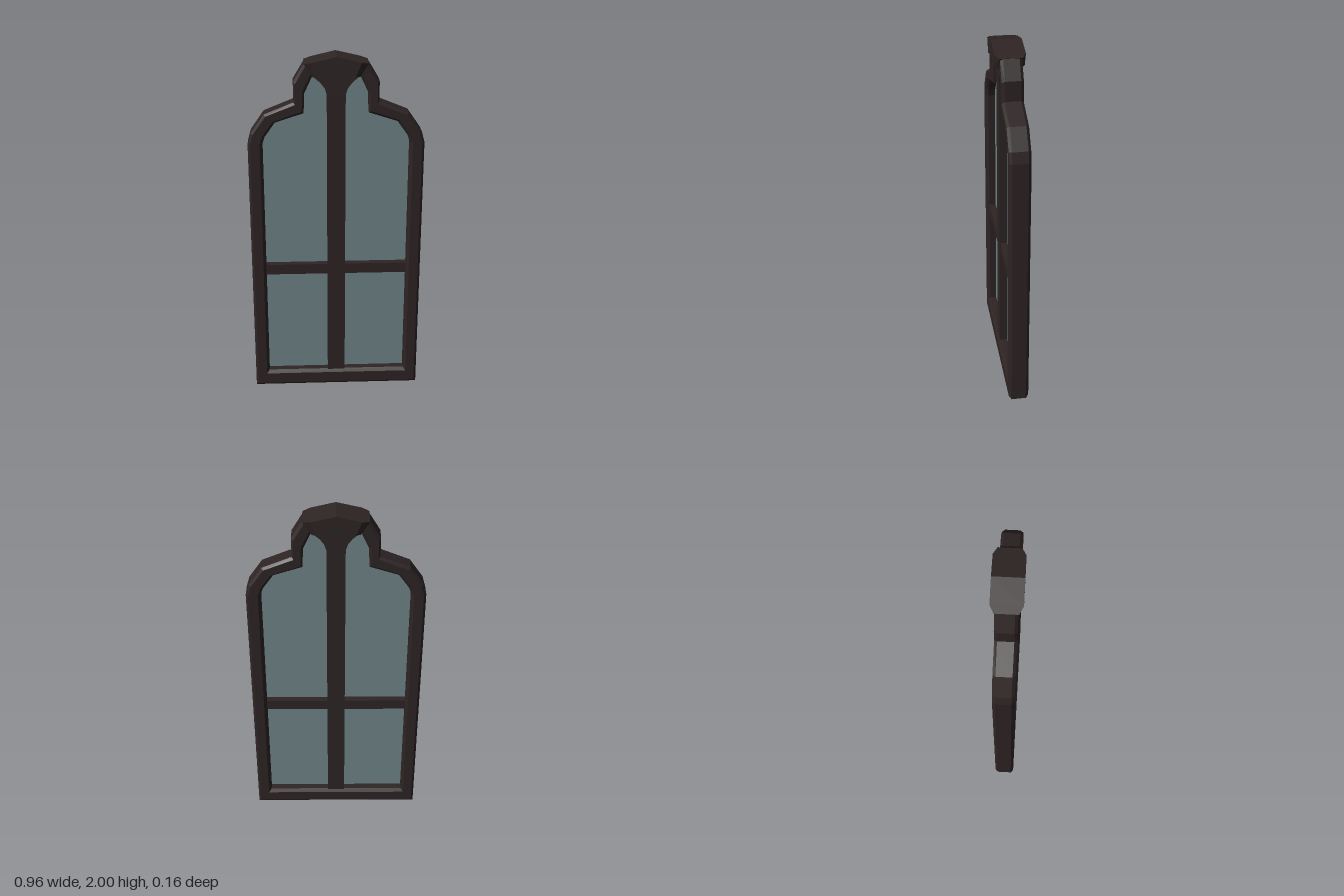
import * as THREE from 'three';

// Skin a list of equal-length point rings with flat quads; optionally join last to first or cap the ends
function loft(rings, { loop = false, caps = false } = {}) {
  const pos = [];
  const quad = (a, b, c, d) => pos.push(...a, ...b, ...c, ...a, ...c, ...d);
  const n = rings.length, m = rings[0].length;
  for (let i = 0; i < (loop ? n : n - 1); i++) {
    const p = rings[i], q = rings[(i + 1) % n];
    for (let j = 0; j < m; j++) {
      const k = (j + 1) % m;
      quad(p[j], q[j], q[k], p[k]);
    }
  }
  if (caps) {
    quad(...rings[0]);
    quad(...[...rings[n - 1]].reverse());
  }
  const g = new THREE.BufferGeometry();
  g.setAttribute('position', new THREE.Float32BufferAttribute(pos, 3));
  g.computeVertexNormals();
  return g;
}

// Complete a right-hand half outline (ending on the centre line) with its mirror image
const mirror = half => [...half, ...half.slice(0, -1).reverse().map(([x, y]) => [-x, y])];

// Flat outline extruded evenly about z = 0
function slab(points, depth) {
  const shape = new THREE.Shape(points.map(p => new THREE.Vector2(...p)));
  const g = new THREE.ExtrudeGeometry(shape, { depth, bevelEnabled: false });
  return g.translate(0, 0, -depth / 2);
}

export function createModel() {
  const wood = new THREE.MeshStandardMaterial({ color: 0x2e2424 });
  wood.name = 'darkWood';
  const pane = new THREE.MeshStandardMaterial({ color: 0x6f8588 });
  pane.name = 'greyGlass';

  const group = new THREE.Group();
  group.name = 'archedWindow';
  const add = (name, geometry, material) => {
    const mesh = new THREE.Mesh(geometry, material);
    mesh.name = name;
    group.add(mesh);
  };

  // Paired outer and inner edges of the stepped arch
  const outer = mirror([[0.48, 0], [0.48, 1.52], [0.463, 1.58], [0.39, 1.685], [0.23, 1.75],
    [0.23, 1.86], [0.17, 1.96], [0, 1.985]]);
  const inner = mirror([[0.4, 0.1], [0.4, 1.52], [0.387, 1.56], [0.33, 1.64], [0.175, 1.69],
    [0.17, 1.8], [0.128, 1.89], [0, 1.92]]);

  // Frame cross-section: fraction from outer to inner edge, and z, chamfered on every corner
  const section = [[0, -0.042], [0, 0.042], [0.17, 0.057], [0.81, 0.057],
    [1, 0.042], [1, -0.042], [0.81, -0.057], [0.17, -0.057]];
  const frameRings = outer.map(([x, y], i) => section.map(([t, z]) =>
    [x + (inner[i][0] - x) * t, y + (inner[i][1] - y) * t, z]));
  add('frame', loft(frameRings, { loop: true }), wood);

  // Glass filling the opening
  add('glass', slab(inner, 0.008), pane);

  // Centre post, flaring into the arch at the top
  add('mullion', slab(mirror([[0.05, 0.09], [0.05, 1.79], [0.062, 1.825], [0.085, 1.855],
    [0.128, 1.893], [0, 1.93]]), 0.09), wood);

  // Horizontal bar
  const bar = new THREE.BoxGeometry(0.81, 0.06, 0.084);
  add('crossbar', bar.translate(0, 0.765, 0), wood);

  // Keystone stations: top x, top y, bottom x, bottom y, half depth
  const stations = [[-0.172, 1.96, -0.125, 1.888, 0.06], [-0.132, 1.969, -0.1, 1.893, 0.081],
    [0, 2, 0, 1.922, 0.081], [0.132, 1.969, 0.1, 1.893, 0.081], [0.172, 1.96, 0.125, 1.888, 0.06]];
  const stoneRings = stations.map(([tx, ty, bx, by, d]) =>
    [[tx, ty, d], [tx, ty, -d], [bx, by, -d], [bx, by, d]]);
  add('keystone', loft(stoneRings, { caps: true }), wood);

  return group;
}
